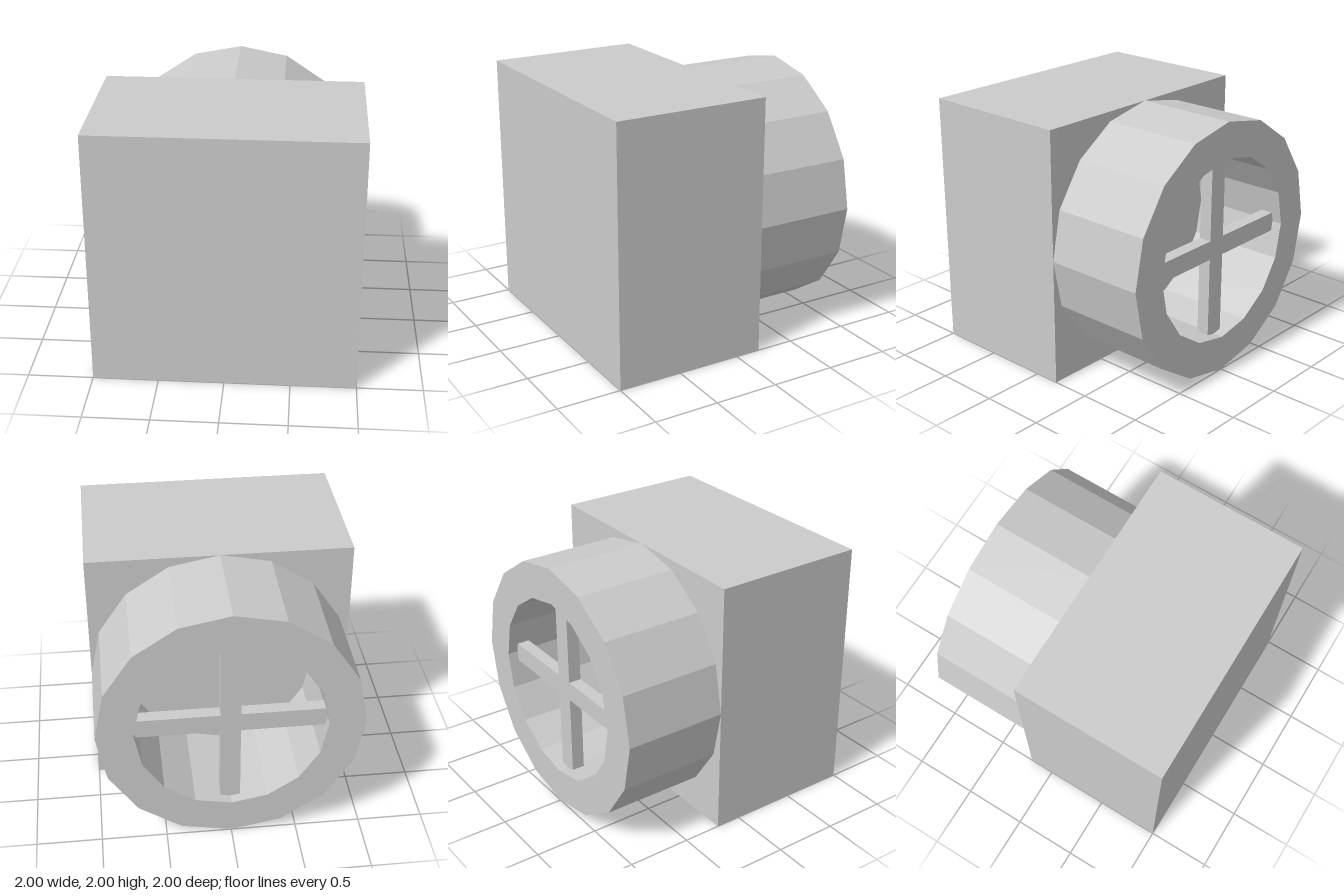
import * as THREE from 'three';

const SIDES = 16;

// Corners of a regular polygon with one corner on the +x axis
function polygon(radius) {
  return Array.from({ length: SIDES }, (_, i) => {
    const a = (i / SIDES) * Math.PI * 2;
    return new THREE.Vector2(Math.cos(a) * radius, Math.sin(a) * radius);
  });
}

export function createModel() {
  const model = new THREE.Group();
  const material = new THREE.MeshStandardMaterial({ color: 0xcccccc, flatShading: true });

  function add(name, geometry, x, y, z) {
    const mesh = new THREE.Mesh(geometry, material);
    mesh.name = name;
    mesh.position.set(x, y, z);
    model.add(mesh);
  }

  // Solid block at the front
  add('block', new THREE.BoxGeometry(2, 2, 1.2), 0, 1, 0.4);

  // Faceted open pipe on the back of the block
  const ring = new THREE.Shape(polygon(1));
  ring.holes.push(new THREE.Path(polygon(0.72)));
  add('pipe', new THREE.ExtrudeGeometry(ring, { depth: 0.8, bevelEnabled: false }), 0, 1, -1);

  // Crossed bars just inside the opening, their ends sunk into the pipe wall
  const width = 0.15, depth = 0.1, length = 1.5;
  const cross = new THREE.Shape();
  const w = width / 2, l = length / 2;
  [[w, w], [w, l], [-w, l], [-w, w], [-l, w], [-l, -w], [-w, -w], [-w, -l], [w, -l], [w, -w], [l, -w], [l, w]]
    .forEach(([x, y], i) => (i ? cross.lineTo(x, y) : cross.moveTo(x, y)));
  add('crossBars', new THREE.ExtrudeGeometry(cross, { depth, bevelEnabled: false }), 0, 1, -0.92);

  return model;
}
